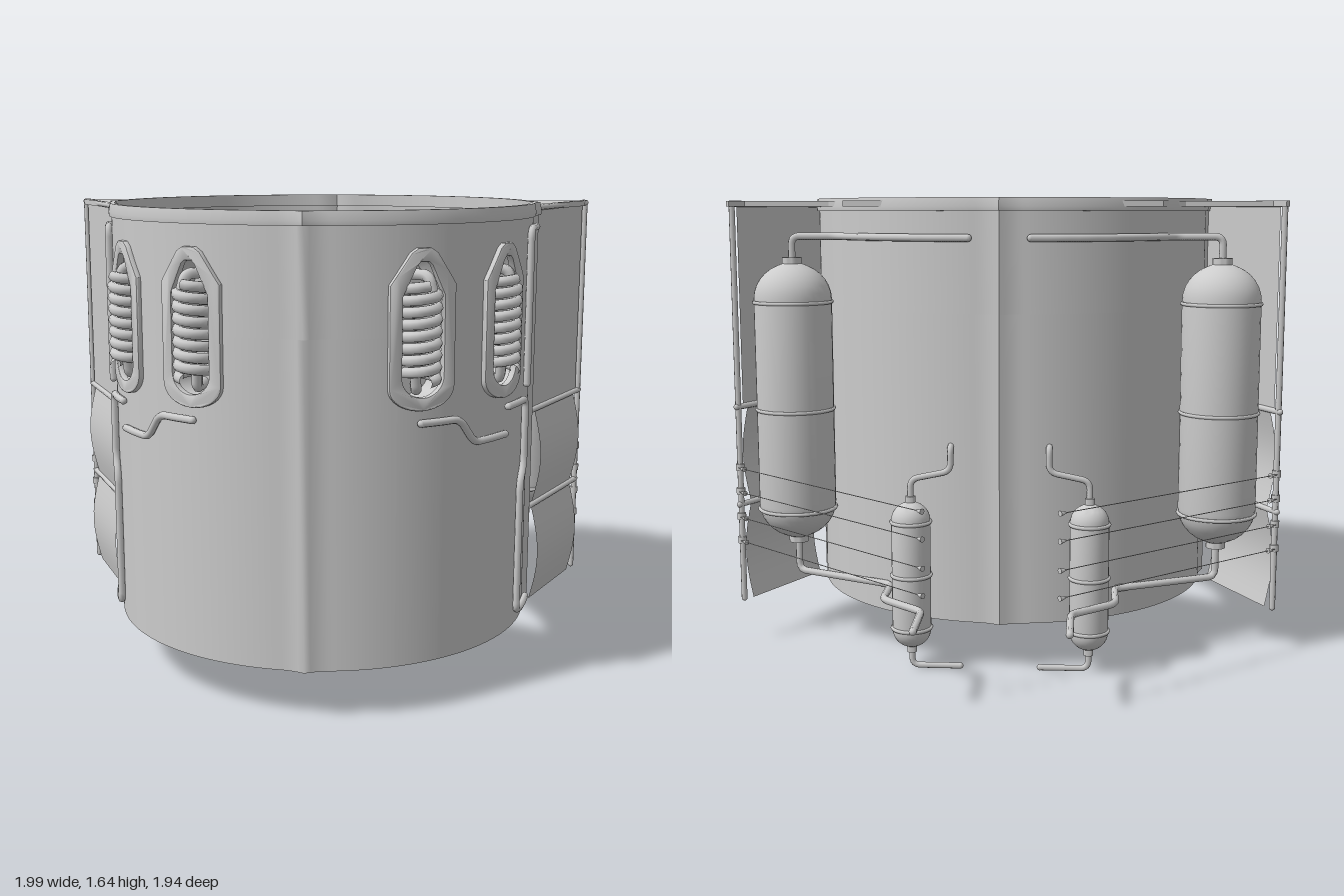
import * as THREE from 'three';
import { mergeGeometries, toCreasedNormals } from 'three/addons/utils/BufferGeometryUtils.js';

const CZ = 0.19, R = 0.745, Y0 = 0.17, Y1 = 1.64;
const rad = THREE.MathUtils.degToRad;
const V = (x, y, z) => new THREE.Vector3(x, y, z);
const mat = new THREE.MeshStandardMaterial({ color: 0xcccccc });
const thin = new THREE.MeshStandardMaterial({ color: 0xcccccc, side: THREE.DoubleSide });

// Point on the barrel: angle in degrees from the front, height, radius
const polar = (deg, y, r = R + 0.012) => V(r * Math.sin(rad(deg)), y, CZ + r * Math.cos(rad(deg)));

// Barrel radius, with a small pointed seam at every quarter turn
function wallRadius(deg) {
  const d = Math.abs(deg - 90 * Math.round(deg / 90));
  return R + 0.02 * Math.max(0, 1 - d / 6) ** 2;
}

// Window outline: round bottom, tapered top
const WINDOWS = [29, 57], HALF = 0.08;
const low = (s, g = 0) => 1.05 - g + 0.07 * (1 - Math.sqrt(Math.max(0, 1 - s * s)));
const high = (s, g = 0) => 1.49 + g - 0.11 * Math.max(0, (Math.abs(s) - 0.3) / 0.7);
function outline(g, Type = THREE.Shape) {
  const pts = [], n = 16, w = HALF + g;
  for (let i = 0; i <= n; i++) { const s = -Math.cos(Math.PI * i / n); pts.push(new THREE.Vector2(s * w, low(s, g))); }
  for (let i = 0; i <= n; i++) { const s = Math.cos(Math.PI * i / n); pts.push(new THREE.Vector2(s * w, high(s, g))); }
  return new Type(pts);
}
function ringShape(gOut, gIn) {
  const shape = outline(gOut);
  shape.holes.push(outline(gIn, THREE.Path));
  return shape;
}

// Smooth surface through rows of points
function surface(rows) {
  const m = rows[0].length, index = [];
  for (let i = 0; i < rows.length - 1; i++) for (let j = 0; j < m - 1; j++) {
    const a = i * m + j, b = a + m;
    index.push(a, b, a + 1, b, b + 1, a + 1);
  }
  const geo = new THREE.BufferGeometry().setFromPoints(rows.flat());
  geo.setIndex(index);
  geo.computeVertexNormals();
  return geo;
}

// Pipe through points with rounded corners and capped ends
function pipe(pts, r = 0.013, bend = 0.03) {
  const path = new THREE.CurvePath();
  let from = pts[0];
  for (let i = 1; i < pts.length - 1; i++) {
    const p = pts[i];
    const toward = q => p.clone().lerp(q, Math.min(0.45, bend / p.distanceTo(q)));
    const a = toward(pts[i - 1]), b = toward(pts[i + 1]);
    path.add(new THREE.LineCurve3(from, a));
    path.add(new THREE.QuadraticBezierCurve3(a, p, b));
    from = b;
  }
  const end = pts[pts.length - 1];
  path.add(new THREE.LineCurve3(from, end));
  const caps = [pts[0], end].map(p => new THREE.SphereGeometry(r, 8, 6).translate(p.x, p.y, p.z));
  return mergeGeometries([new THREE.TubeGeometry(path, pts.length > 2 ? pts.length * 12 : 1, r, 8), ...caps]);
}

// Copy across x = 0, with the winding reversed
function mirrored(geo) {
  const g = geo.clone().applyMatrix4(new THREE.Matrix4().makeScale(-1, 1, 1));
  const index = g.index ? [...g.index.array] : [...Array(g.attributes.position.count).keys()];
  g.setIndex(index.reverse());
  return g;
}

// Domed tank with raised bands
function tank(x, z, r, y0, y1, dome, bands) {
  const pts = [new THREE.Vector2(0, y0 - 0.02), new THREE.Vector2(r * 0.25, y0 - 0.02)];
  for (let i = 1; i <= 8; i++) {
    const a = Math.PI / 2 * i / 8;
    pts.push(new THREE.Vector2(Math.max(r * 0.25, r * Math.sin(a)), y0 + dome * (1 - Math.cos(a))));
  }
  for (let i = 8; i >= 1; i--) {
    const a = Math.PI / 2 * i / 8;
    pts.push(new THREE.Vector2(Math.max(r * 0.25, r * Math.sin(a)), y1 - dome * (1 - Math.cos(a))));
  }
  pts.push(new THREE.Vector2(r * 0.25, y1 + 0.02), new THREE.Vector2(0, y1 + 0.02));
  const body = toCreasedNormals(new THREE.LatheGeometry(pts, 32), 0.7);
  const rings = bands.map(y => new THREE.TorusGeometry(r, 0.007, 6, 32).rotateX(Math.PI / 2).translate(0, y, 0).toNonIndexed());
  return mergeGeometries([body, ...rings]).translate(x, 0, z);
}

export function createModel() {
  const model = new THREE.Group();
  const add = (name, geo, m = mat) => {
    const mesh = new THREE.Mesh(geo, m);
    mesh.name = name;
    model.add(mesh);
  };
  const pair = (name, geo, m = mat) => {
    add(name + 'Left', geo, m);
    add(name + 'Right', mirrored(geo), m);
  };

  // Barrel wall, split above and below the window openings
  const halfDeg = THREE.MathUtils.radToDeg(HALF / R), angles = [];
  for (let a = -180; a <= 180; a += 1.5) angles.push(a);
  for (const c of WINDOWS) for (const s of [-1, 1]) for (const e of [-1, 1]) for (const k of [-0.01, 0.01])
    angles.push(s * (c + e * halfDeg + k));
  angles.sort((a, b) => a - b);
  const lower = [], upper = [], rim = [];
  for (const a of angles) {
    const r = wallRadius(a), c = WINDOWS.find(w => Math.abs(Math.abs(a) - w) < halfDeg);
    const s = c ? (Math.abs(a) - c) / halfDeg : 0;
    const lo = c ? low(s) : 1.25, hi = c ? high(s) : 1.25;
    lower.push([polar(a, Y0, r), polar(a, lo, r)]);
    upper.push([polar(a, hi, r), polar(a, 1.61, r)]);
    rim.push([[1.595, -0.012], [1.595, 0.008], [1.61, 0.01], [Y1, 0.004], [Y1, -0.012], [1.595, -0.012]]
      .map(([y, d]) => polar(a, y, r + d)));
  }
  add('barrelLower', surface(lower), thin);
  add('barrelUpper', surface(upper), thin);
  add('topRim', toCreasedNormals(surface(rim), 0.6), thin);

  // Windows: curved frame, recessed box and coil
  for (const c of WINDOWS) {
    const frame = new THREE.ExtrudeGeometry(ringShape(0.03, -0.003),
      { depth: 0.012, bevelEnabled: true, bevelSize: 0.005, bevelThickness: 0.006, bevelSegments: 2 });
    const p = frame.attributes.position;
    for (let i = 0; i < p.count; i++) {
      const q = polar(c + THREE.MathUtils.radToDeg(p.getX(i) / R), p.getY(i), R + p.getZ(i));
      p.setXYZ(i, q.x, q.y, q.z);
    }
    frame.computeVertexNormals();
    pair('windowFrame', toCreasedNormals(frame, 0.6));

    const place = g => g.rotateY(rad(c)).translate(0, 0, CZ);
    const box = new THREE.ExtrudeGeometry(ringShape(0.004, -0.002), { depth: 0.09, bevelEnabled: false });
    pair('recessSides', place(toCreasedNormals(box, 0.6).translate(0, 0, 0.648)));
    pair('recessBack', place(new THREE.ShapeGeometry(outline(0.003)).translate(0, 0, 0.65)), thin);

    const helix = [], turns = 8;
    for (let i = 0; i <= turns * 14; i++) {
      const a = 2 * Math.PI * i / 14;
      helix.push(V(0.05 * Math.sin(a), 1.11 + 0.3 * i / (turns * 14), 0.74 + 0.05 * Math.cos(a)));
    }
    pair('coil', place(new THREE.TubeGeometry(new THREE.CatmullRomCurve3(helix), turns * 18, 0.018, 8)));
    pair('coilTopEnd', place(pipe([V(0.03, 1.38, 0.76), V(0.02, 1.44, 0.75), V(-0.02, 1.44, 0.65)], 0.018)));
    pair('coilBottomEnd', place(pipe([V(-0.03, 1.13, 0.76), V(-0.02, 1.08, 0.75), V(0.03, 1.08, 0.65)], 0.018)));
  }

  // Pipes lying on the wall: angle, height
  const wallPipes = [
    [[82, 1.56], [73, 1.56], [73, 1.03]],
    [[59.5, 0.98], [66, 0.98], [72, 0.98], [72, 0.75], [69, 0.69], [69, 0.22], [75, 0.22], [82, 0.22]],
    [[28.7, 0.975], [34, 0.975], [40, 0.975], [45, 0.89], [51, 0.89], [58, 0.89]],
  ];
  for (const pts of wallPipes) pair('wallPipe', pipe(pts.map(([a, y]) => polar(a, y))));

  // Top brackets with round holes
  const plan = [[0.745, 0.18], [0.975, -0.23], [0.992, -0.31], [0.978, -0.325], [0.945, -0.235], [0.64, -0.23],
    [0.59, -0.26], [0.565, -0.32], [0.55, -0.43], [0.4, -0.44]].map(([x, z]) => new THREE.Vector2(x, -z));
  for (let a = 146; a >= 92; a -= 6) { const q = polar(a, 0, R); plan.push(new THREE.Vector2(q.x, -q.z)); }
  const bracket = new THREE.Shape(plan);
  for (const [x, z, r] of [[0.74, -0.16, 0.036], [0.74, -0.06, 0.024], [0.53, -0.38, 0.024]])
    bracket.holes.push(new THREE.Path().absarc(x, -z, r, 0, Math.PI * 2, true));
  pair('topBracket', new THREE.ExtrudeGeometry(bracket, { depth: 0.02, bevelEnabled: false }).rotateX(-Math.PI / 2).translate(0, 1.61, 0));

  // Side panel with bars, post and two bowed flaps
  const side = (t, y, out = 0) => V(0.755 + 0.225 * t + 0.89 * out, y, 0.17 - 0.45 * t + 0.45 * out);
  pair('sidePanel', surface([0, 0.95].map(t => [side(t, 0.88), side(t, 1.62)])), thin);
  for (const y of [0.52, 0.885, 1.62]) pair('sideBar', pipe([side(-0.02, y), side(1.02, y)], 0.011));
  pair('sidePost', pipe([side(1, 0.16), side(1, 1.62)], 0.011));
  for (const [y0, y1] of [[0.15, 0.51], [0.53, 0.88]]) {
    pair('sideFlap', surface([0.1, 0.9].map(t => Array.from({ length: 13 }, (_, i) =>
      side(t, y0 + (y1 - y0) * i / 12, 0.03 * Math.sin(Math.PI * i / 12))))), thin);
  }

  // Large tanks and their pipes
  const X = 0.77, Z = -0.265;
  pair('largeTank', tank(X, Z, 0.14, 0.4, 1.41, 0.13, [0.51, 0.88, 1.27]));
  const feed = [V(X, 1.41, Z), V(X, 1.505, Z)];
  for (let a = 127; a <= 172; a += 7.5) feed.push(polar(a, 1.505));
  pair('largeTankTopPipe', pipe(feed));
  pair('largeTankBottomPipe', pipe([V(X, 0.41, Z), V(X, 0.27, Z), V(0.4, 0.27, -0.44), V(0.4, 0.27, -0.62),
    V(0.25, 0.27, -0.75), V(0.25, 0.27, -0.96)]));

  // Small tanks and their pipes
  pair('smallTank', tank(0.31, -0.55, 0.068, 0.08, 0.6, 0.065, [0.15, 0.34, 0.53]));
  pair('smallTankTopPipe', pipe([V(0.31, 0.6, -0.55), V(0.31, 0.68, -0.55), V(0.17, 0.71, -0.555),
    V(0.17, 0.795, -0.555), V(0.17, 0.795, -0.51)], 0.011));
  pair('smallTankBottomPipe', pipe([V(0.31, 0.08, -0.55), V(0.31, 0.011, -0.55), V(0.14, 0.011, -0.55)], 0.011));

  // Tie wires with cone ends and post clamps
  for (const y of [0.385, 0.475, 0.57, 0.66]) {
    const a = V(0.98, y, -0.3), b = V(0.23, y, -0.94);
    pair('tieWire', pipe([a, b], 0.0015));
    const yaw = Math.atan2(b.x - a.x, b.z - a.z);
    const cone = p => new THREE.ConeGeometry(0.01, 0.035, 8).rotateX(-Math.PI / 2).rotateY(yaw).translate(p.x, p.y, p.z);
    pair('wireEnd', mergeGeometries([cone(a.clone().lerp(b, 0.02)), cone(b)]));
    pair('postClamp', new THREE.CylinderGeometry(0.016, 0.016, 0.025, 10).translate(0.98, y, -0.28));
  }
  return model;
}
